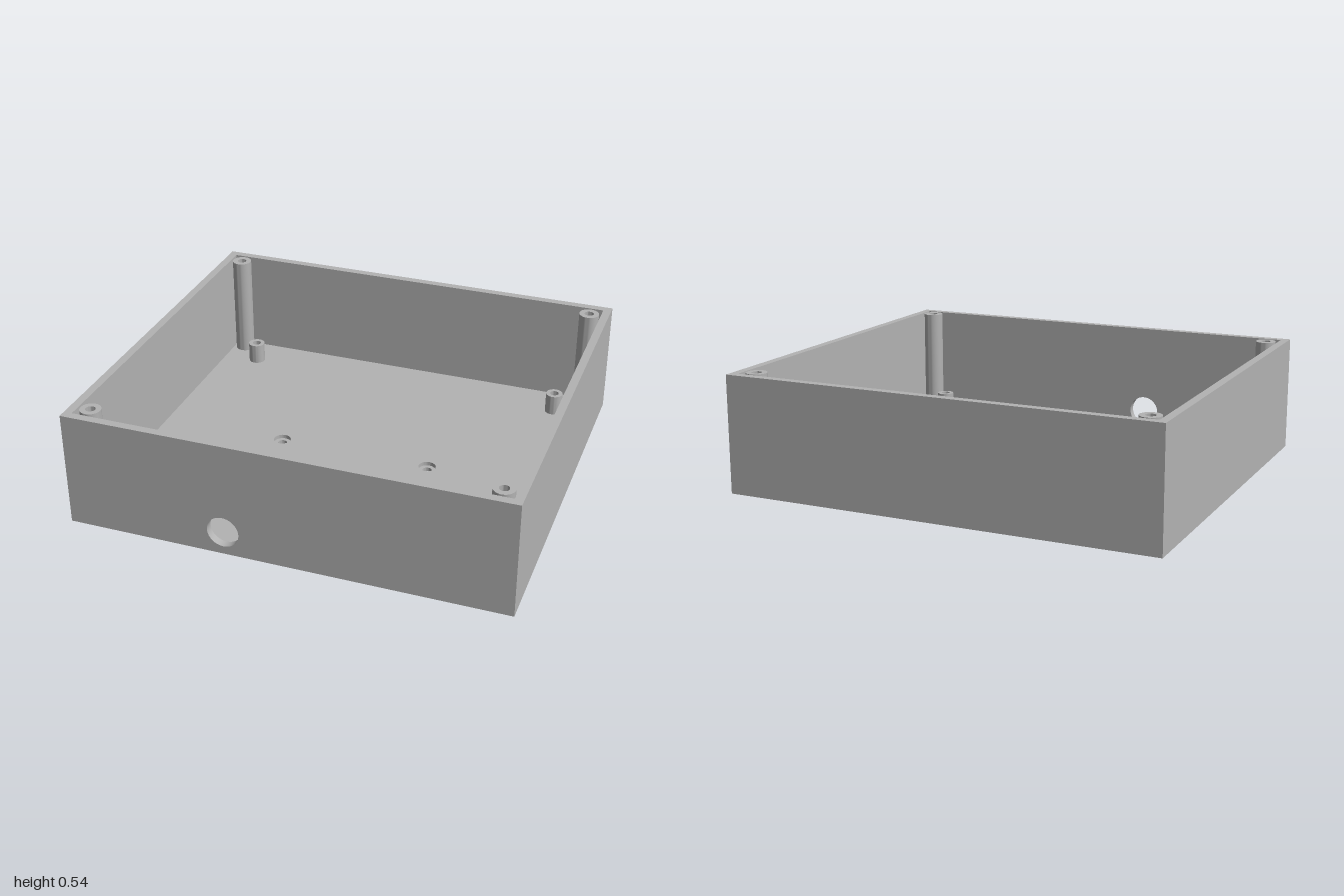
import * as THREE from 'three';
import { toCreasedNormals } from 'three/addons/utils/BufferGeometryUtils.js';

const W = 2, H = 0.535, D = 1.8, T = 0.0375; // outer size and wall thickness

const rect = (x0, y0, x1, y1) => new THREE.Shape([
  new THREE.Vector2(x0, y0), new THREE.Vector2(x1, y0),
  new THREE.Vector2(x1, y1), new THREE.Vector2(x0, y1),
]);
const circle = (shape, x, y, r) => shape.absarc(x, y, r, 0, Math.PI * 2, false);

// Extruded plate with round holes [x, y, r], with smooth bores and sharp rims
function plate(shape, holes, depth) {
  for (const [x, y, r] of holes) shape.holes.push(circle(new THREE.Path(), x, y, r));
  const geo = new THREE.ExtrudeGeometry(shape, { depth, bevelEnabled: false, curveSegments: 20 });
  return toCreasedNormals(geo, 0.7);
}

export function createModel() {
  const model = new THREE.Group();
  model.name = 'enclosure';
  const grey = new THREE.MeshStandardMaterial({ color: 0xb3b3b3 });
  grey.name = 'grey plastic';

  const add = (name, geo, x = 0, y = 0, z = 0) => {
    const mesh = new THREE.Mesh(geo, grey);
    mesh.name = name;
    mesh.position.set(x, y, z);
    model.add(mesh);
  };

  // Floor in two layers, so the mounting holes are counterbored from inside
  const ix = W / 2 - T, iz = D / 2 - T;
  const floorLayer = (r, depth) => plate(rect(-ix, -iz, ix, iz),
    [[-0.363, -0.008, r], [0.358, -0.008, r]], depth).rotateX(-Math.PI / 2);
  add('floorBottom', floorLayer(0.021, T / 2));
  add('floorTop', floorLayer(0.04, T / 2), 0, T / 2, 0);

  // Walls; the front one has a round cable opening
  add('frontWall', plate(rect(-W / 2, 0, W / 2, H), [[-0.27, 0.11, 0.0725]], T), 0, 0, iz);
  add('backWall', new THREE.BoxGeometry(W, H, T), 0, H / 2, -D / 2 + T / 2);
  for (const s of [-1, 1]) {
    add(s > 0 ? 'leftWall' : 'rightWall',
      new THREE.BoxGeometry(T, H, D - 2 * T), s * (W / 2 - T / 2), H / 2, 0);
  }

  // Hollow screw posts standing on the floor
  const post = (name, x, z, r, bore, top) => add(name,
    plate(circle(new THREE.Shape(), 0, 0, r), [[0, 0, bore]], top - T).rotateX(-Math.PI / 2), x, T, z);
  for (const x of [-0.906, 0.906]) {
    for (const z of [-0.806, 0.804]) post('cornerPost', x, z, 0.047, 0.022, H);
  }
  const standoffs = [[-0.79, -0.692], [0.79, -0.692], [-0.79, 0.688], [0.79, 0.712]];
  for (const [x, z] of standoffs) post('boardStandoff', x, z, 0.04, 0.021, 0.135);

  return model;
}
